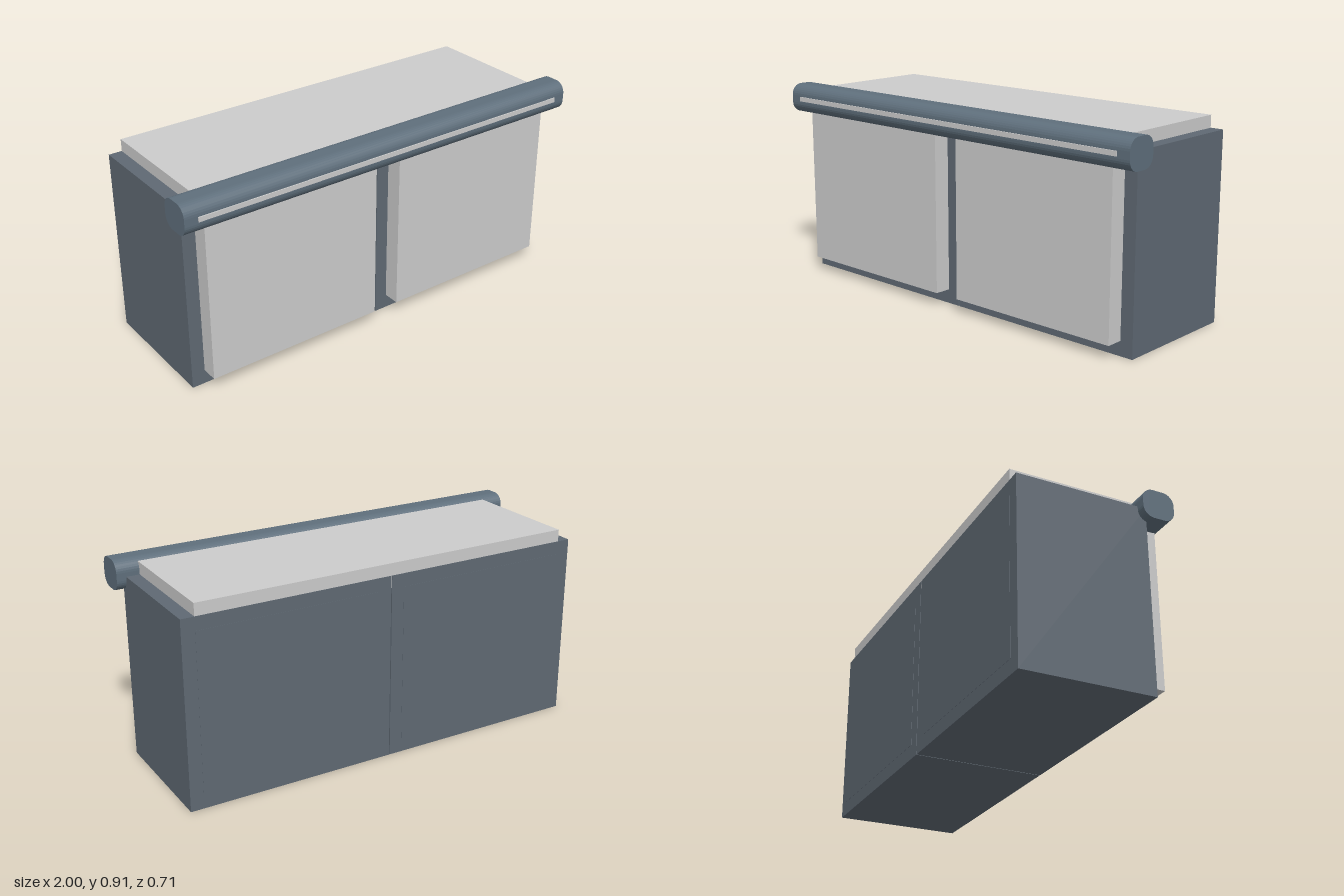
import * as THREE from 'three';

const material = (color) => new THREE.MeshStandardMaterial({ color, roughness: 0.8 });

// Box given by its minimum and maximum corners
function box(name, min, max, mat) {
  const size = max.map((v, i) => v - min[i]);
  const mesh = new THREE.Mesh(new THREE.BoxGeometry(...size), mat);
  mesh.position.set(...max.map((v, i) => (v + min[i]) / 2));
  mesh.name = name;
  return mesh;
}

// Rounded-rectangle outline centred on the origin
function roundedRect(w, h, r) {
  const s = new THREE.Shape();
  const x = w / 2 - r, y = h / 2 - r;
  s.absarc(x, y, r, 0, Math.PI / 2);
  s.absarc(-x, y, r, Math.PI / 2, Math.PI);
  s.absarc(-x, -y, r, Math.PI, Math.PI * 1.5);
  s.absarc(x, -y, r, Math.PI * 1.5, Math.PI * 2);
  s.closePath();
  return s;
}

export function createModel() {
  const model = new THREE.Group();
  model.name = 'doubleCabinet';
  const dark = material(0x5f6973);
  const barDark = material(0x5f6f7c);
  barDark.flatShading = true;
  const light = material(0xcccccc);

  // Two side-by-side cabinets, each with a raised front panel
  for (const [side, s] of [['left', 1], ['right', -1]]) {
    const span = (a, b) => (s > 0 ? [a, b] : [-b, -a]);
    const [c0, c1] = span(0.002, 0.958);
    const [p0, p1] = span(0.062, 0.898);
    model.add(box(side + 'Cabinet', [c0, 0, -0.355], [c1, 0.845, 0.24], dark));
    model.add(box(side + 'FrontPanel', [p0, 0.065, 0.2], [p1, 0.785, 0.317], light));
    // Inset panel just proud of the back
    model.add(box(side + 'BackPanel', [p0, 0.065, -0.356], [p1, 0.785, -0.34], dark));
  }

  // Top slab
  model.add(box('topSlab', [-0.898, 0.79, -0.354], [0.898, 0.9, 0.24], light));

  // Rounded bar along the front top edge
  const barGeometry = new THREE.ExtrudeGeometry(roundedRect(0.148, 0.134, 0.05), {
    depth: 2, bevelEnabled: false, curveSegments: 4,
  });
  barGeometry.translate(0, 0, -1);
  barGeometry.rotateY(Math.PI / 2);
  const bar = new THREE.Mesh(barGeometry, barDark);
  bar.position.set(0, 0.847, 0.276);
  bar.name = 'frontBar';
  model.add(bar);

  // Light strip set into the bar
  model.add(box('barStrip', [-0.94, 0.838, 0.3], [0.94, 0.859, 0.355], light));

  return model;
}
